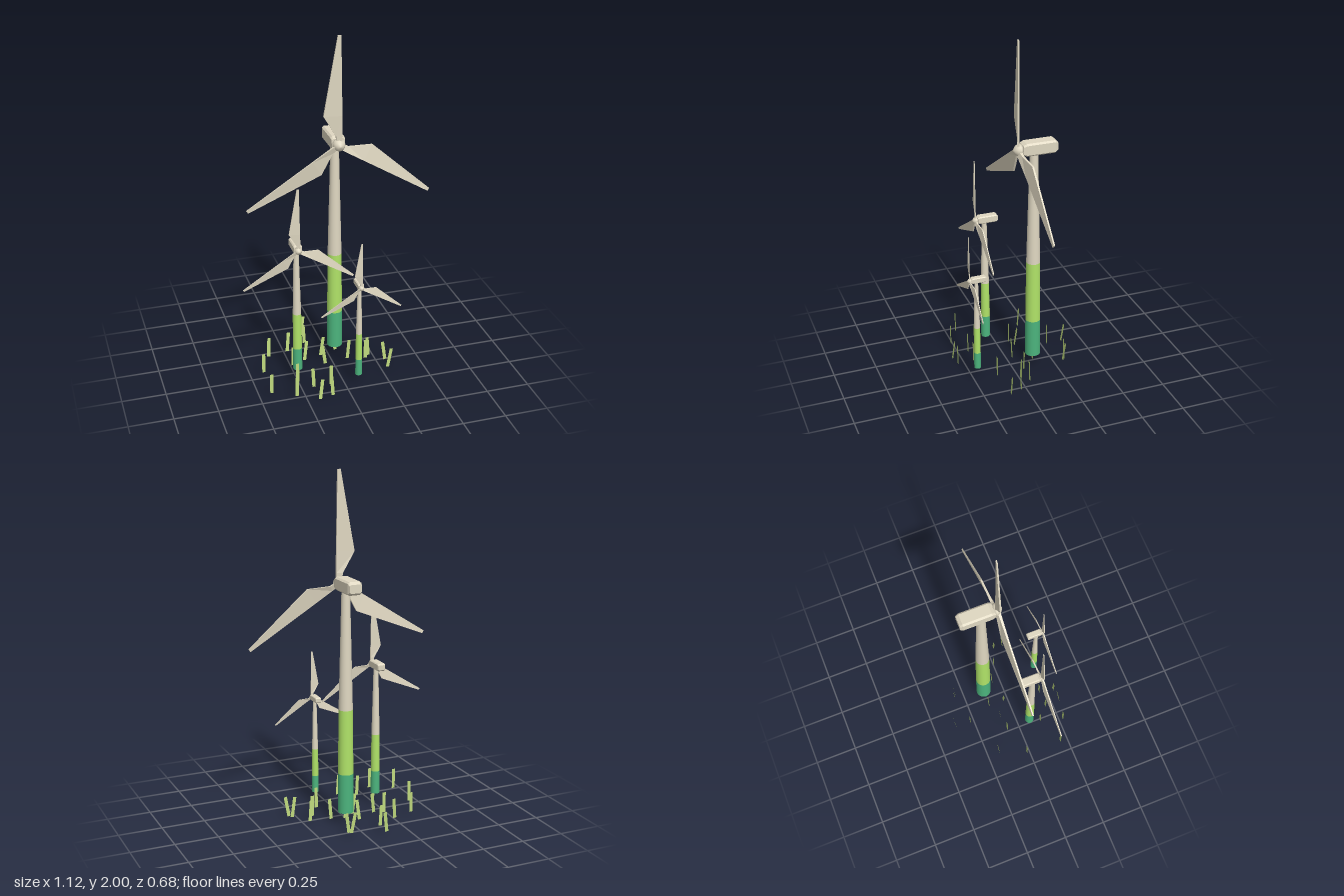
import * as THREE from 'three';

const mat = (name, color, side = THREE.FrontSide) => {
  const m = new THREE.MeshStandardMaterial({ color, side });
  m.name = name;
  return m;
};

// Faceted skin through rings of points, counterclockwise about the direction of travel, with end caps
function loft(rings) {
  const pos = [];
  const tri = (a, b, c) => pos.push(...a, ...b, ...c);
  const n = rings[0].length;
  for (let k = 0; k < rings.length - 1; k++) {
    for (let i = 0; i < n; i++) {
      const j = (i + 1) % n;
      tri(rings[k][i], rings[k][j], rings[k + 1][j]);
      tri(rings[k][i], rings[k + 1][j], rings[k + 1][i]);
    }
  }
  const first = rings[0], last = rings[rings.length - 1];
  for (let i = 1; i < n - 1; i++) {
    tri(first[0], first[i + 1], first[i]);
    tri(last[0], last[i], last[i + 1]);
  }
  const g = new THREE.BufferGeometry();
  g.setAttribute('position', new THREE.Float32BufferAttribute(pos, 3));
  g.computeVertexNormals();
  return g;
}

// Flat twisted rotor blade along +y: [y, left x, left z, right x, right z, half thickness]
function bladeGeometry() {
  const stations = [
    [0.015, -0.014, -0.006, 0.014, 0.004, 0.008],
    [0.055, -0.018, -0.008, 0.015, 0.004, 0.007],
    [0.172, -0.087, -0.012, 0.014, 0.003, 0.005],
    [0.618, -0.010, -0.001, 0.008, 0.001, 0.004],
  ];
  return loft(stations.map(([y, xl, zl, xr, zr, t]) =>
    [[xl, y, zl + t], [xr, y, zr + t], [xr, y, zr - t], [xl, y, zl - t]]));
}

// Bevelled housing along z: [z, half width, half height]
function nacelleGeometry() {
  const stations = [[-0.129, 0.035, 0.024], [-0.113, 0.04, 0.037], [0.052, 0.04, 0.037], [0.072, 0.038, 0.027]];
  const c = 0.25;
  return loft(stations.map(([z, w, h]) => [
    [w, -h * (1 - c)], [w, h * (1 - c)], [w * (1 - c), h], [-w * (1 - c), h],
    [-w, h * (1 - c)], [-w, -h * (1 - c)], [-w * (1 - c), -h], [w * (1 - c), -h],
  ].map(([x, y]) => [x, y, z])));
}

export function createModel() {
  const model = new THREE.Group();
  model.name = 'windFarm';

  const cream = mat('cream', 0xdfd7c1);
  const lime = mat('lime', 0xb0e368);
  const green = mat('green', 0x4cb47d);
  const grassGreen = mat('grassGreen', 0xc0da7e, THREE.DoubleSide);

  const add = (parent, name, geometry, material) => {
    const mesh = new THREE.Mesh(geometry, material);
    mesh.name = name;
    parent.add(mesh);
    return mesh;
  };

  const blade = bladeGeometry();
  const nacelle = nacelleGeometry();
  const hub = new THREE.LatheGeometry(
    [[0, -0.024], [0.035, -0.022], [0.036, -0.008], [0.03, 0.01], [0.016, 0.023], [0, 0.029]]
      .map(([r, y]) => new THREE.Vector2(r, y)), 16);
  hub.rotateX(Math.PI / 2);

  // Tower bands: [name, bottom y, top y, bottom radius, top radius, material]
  const bands = [
    ['towerBase', 0, 0.23, 0.0443, 0.0435, green],
    ['towerMiddle', 0.23, 0.605, 0.0435, 0.04, lime],
    ['towerTop', 0.605, 1.285, 0.04, 0.0235, cream],
  ];
  const bandGeometries = bands.map(([, y0, y1, r0, r1]) =>
    new THREE.CylinderGeometry(r1, r0, y1 - y0, 24).translate(0, (y0 + y1) / 2, 0));

  function turbine(name, x, z, scale) {
    const g = new THREE.Group();
    g.name = name;
    bands.forEach((b, i) => add(g, b[0], bandGeometries[i], b[5]));
    add(g, 'nacelle', nacelle, cream).position.y = 1.308;
    const rotor = new THREE.Group();
    rotor.name = 'rotor';
    rotor.position.set(0, 1.302, 0.091);
    add(rotor, 'hub', hub, cream);
    for (const angle of [0, 122, -122]) {
      add(rotor, 'blade', blade, cream).rotation.z = THREE.MathUtils.degToRad(angle);
    }
    g.add(rotor);
    g.position.set(x, 0.08, z);
    g.scale.setScalar(scale);
    model.add(g);
  }
  turbine('largeTurbine', 0.034, -0.127, 1);
  turbine('mediumTurbine', -0.246, 0.068, 0.597);
  turbine('smallTurbine', 0.07, 0.226, 0.44);

  // Grass strips: [x, centre y, z, sideways lean, backward tilt], angles in degrees
  const strips = [
    [-0.433, 0.09, 0.2, 0, 0], [-0.425, 0.09, -0.02, 0, 0], [-0.355, 0.09, -0.18, -3, -3],
    [-0.305, 0.09, 0.27, 0, 0], [-0.265, 0.09, 0.134, 0, 0], [-0.23, 0.085, -0.215, -6, -5],
    [-0.235, 0.07, -0.075, 0, 0], [-0.17, 0.064, 0.295, -8, -5], [-0.105, 0.07, 0.29, 4, 0],
    [-0.155, 0.085, -0.09, -8, -5], [-0.19, 0.085, 0.2, 3, 0], [-0.115, 0.085, -0.275, 3, -1],
    [-0.1, 0.085, -0.37, -8, -5], [-0.085, 0.085, 0.2, 0, 0], [-0.06, 0.075, -0.03, 8, 0],
    [-0.045, 0.075, -0.125, -8, 0], [0.032, 0.1, -0.125, 4, 0], [0.07, 0.085, -0.31, 10, -3],
    [0.1, 0.085, -0.3, -9, -4], [0.11, 0.085, 0.12, 0, 0], [0.095, 0.075, -0.05, -5, 0],
    [0.185, 0.09, 0.0, 0, 0], [0.212, 0.08, -0.04, 4, 0], [0.285, 0.085, 0.04, 8, 0],
    [0.3, 0.068, 0.1, -10, 0],
  ];
  const grass = new THREE.Group();
  grass.name = 'grass';
  const stripGeometry = new THREE.PlaneGeometry(0.02, 0.122);
  for (const [x, y, z, lean, tilt] of strips) {
    const strip = add(grass, 'grassStrip', stripGeometry, grassGreen);
    strip.position.set(x, y, z);
    strip.rotation.set(THREE.MathUtils.degToRad(tilt), 0, THREE.MathUtils.degToRad(lean));
  }
  model.add(grass);
  return model;
}
